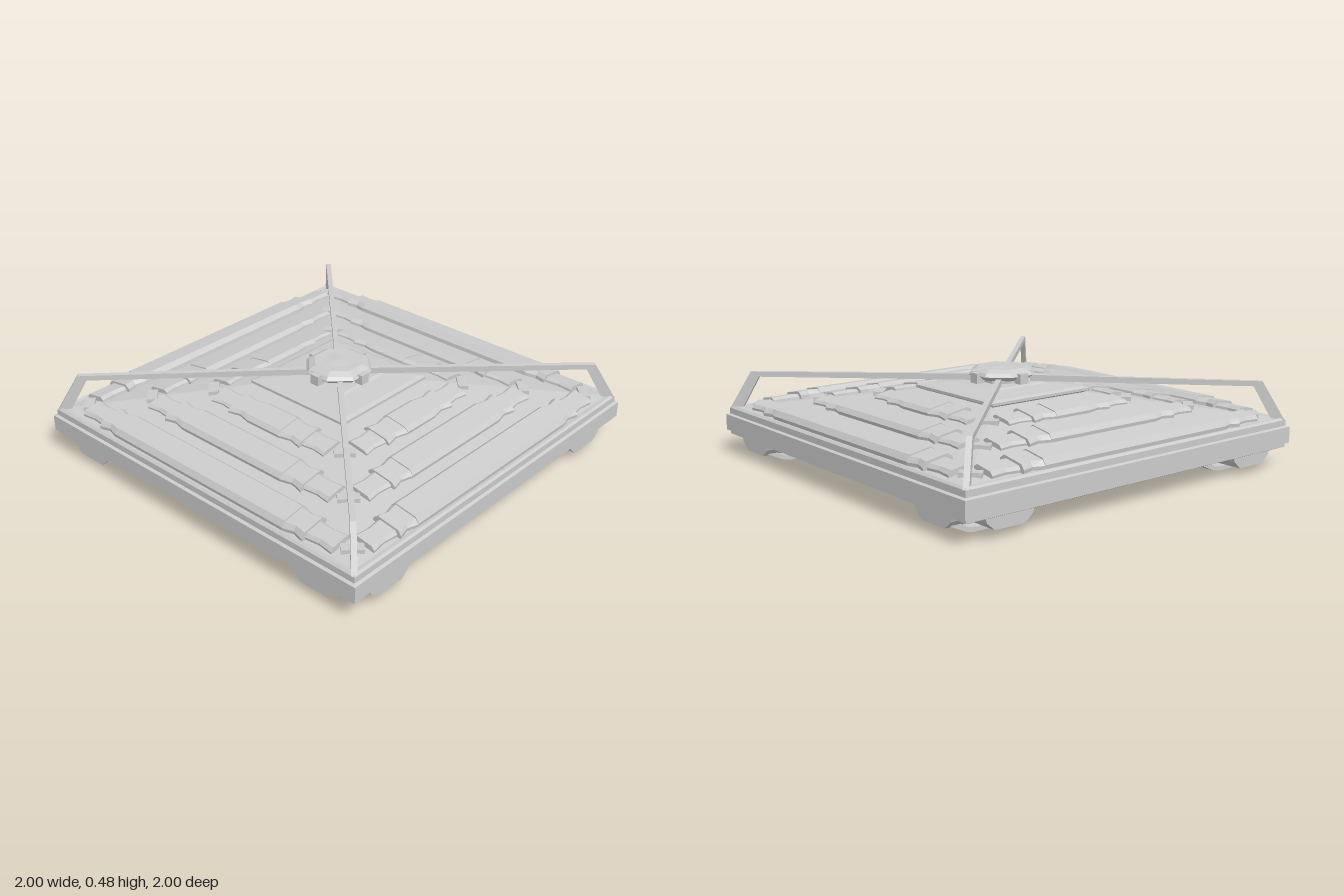
import * as THREE from 'three';

const material = new THREE.MeshStandardMaterial({ color: 0xcccccc, flatShading: true });
const SLOPE = 0.168;
const roofY = (h) => 0.242 + (0.955 - h) * SLOPE;

function add(parent, name, geometry) {
  const mesh = new THREE.Mesh(geometry, material);
  mesh.name = name;
  parent.add(mesh);
  return mesh;
}

// Square-plan solid from [half width, height] pairs, bottom to top
function squareSolid(profile) {
  const pts = profile.map(([h, y]) => new THREE.Vector2(h * Math.SQRT2, y));
  return new THREE.LatheGeometry(pts, 4, Math.PI / 4);
}

// Eight-sided solid with flats facing the four sides
function octagonSolid(profile) {
  const pts = profile.map(([r, y]) => new THREE.Vector2(r / Math.cos(Math.PI / 8), y));
  return new THREE.LatheGeometry(pts, 8, Math.PI / 8);
}

// Rounded-square solid: a round lathe pushed out towards the diagonals
function roundedSquareSolid(profile) {
  const geometry = new THREE.LatheGeometry(profile.map(([r, y]) => new THREE.Vector2(r, y)), 16);
  const pos = geometry.attributes.position;
  for (let i = 0; i < pos.count; i++) {
    const x = pos.getX(i), z = pos.getZ(i);
    const a = Math.atan2(z, x);
    const k = (Math.cos(a) ** 4 + Math.sin(a) ** 4) ** -0.25;
    pos.setXYZ(i, x * k, pos.getY(i), z * k);
  }
  geometry.computeVertexNormals();
  return geometry;
}

// Flat outline in x/y with a thickness centred on z
function plate(points, depth) {
  const shape = new THREE.Shape(points.map(([x, y]) => new THREE.Vector2(x, y)));
  return new THREE.ExtrudeGeometry(shape, { depth, bevelEnabled: false }).translate(0, 0, -depth / 2);
}

// Bevelled bar running along x; its width can change from x0 to x1
function bar(x0, x1, w0, w1, height) {
  const section = [[-0.5, -0.01], [0.5, -0.01], [0.5, height * 0.45], [0.36, height], [-0.36, height], [-0.5, height * 0.45]];
  const geometry = plate(section, x1 - x0).rotateY(Math.PI / 2).translate((x0 + x1) / 2, 0, 0);
  const pos = geometry.attributes.position;
  for (let i = 0; i < pos.count; i++) {
    const t = (pos.getX(i) - x0) / (x1 - x0);
    pos.setZ(i, pos.getZ(i) * (w0 + (w1 - w0) * t));
  }
  return geometry;
}

// One sloping row on the roof: long panel, waisted clamps, narrow end pieces
function panelRow({ c, panel, clamp, end, height }) {
  const row = new THREE.Group();
  row.name = 'panelRow';
  row.position.set(0, roofY(c), c);
  row.rotation.x = Math.atan(SLOPE);
  add(row, 'panel', bar(-panel, panel, 0.155, 0.155, height));
  const mid = (panel + clamp) / 2;
  const pieces = [
    ['clamp', panel, mid, 0.155, 0.125, 0.85],
    ['clamp', mid, clamp, 0.125, 0.155, 0.85],
    ['endPiece', clamp, (clamp + end) / 2, 0.115, 0.1, 0.6],
    ['endPiece', (clamp + end) / 2, end, 0.1, 0.12, 0.6],
  ];
  for (const [name, a, b, wa, wb, h] of pieces) {
    add(row, name, bar(a, b, wa, wb, height * h));
    add(row, name, bar(-b, -a, wb, wa, height * h));
  }
  return row;
}

const ROWS = [
  { c: 0.885, panel: 0.555, clamp: 0.67, end: 0.82, height: 0.044 },
  { c: 0.665, panel: 0.325, clamp: 0.45, end: 0.595, height: 0.036 },
  { c: 0.45, panel: 0.1, clamp: 0.235, end: 0.37, height: 0.03 },
];

export function createModel() {
  const model = new THREE.Group();
  model.name = 'squarePlatform';

  // Body: underside recess, grooved rail, stepped rim and shallow pyramid roof
  add(model, 'body', squareSolid([
    [0, 0.05], [0.33, 0.05], [0.585, 0.07], [0.6, 0.045], [0.62, 0.04], [0.66, 0.04], [0.67, 0.048],
    [0.69, 0.048], [0.7, 0.04], [0.75, 0.04], [0.77, 0.05],
    [0.79, 0.09], [0.975, 0.095], [0.985, 0.1], [0.985, 0.115], [1, 0.12], [1, 0.2],
    [0.985, 0.205], [0.985, 0.235], [0.975, 0.245], [0.955, 0.242], [0.3, roofY(0.3)], [0, roofY(0.3)],
  ]));
  add(model, 'roofCap', squareSolid([
    [0, 0.345], [0.27, 0.345], [0.305, 0.362], [0.305, 0.375], [0.285, 0.383], [0.16, 0.395], [0.145, 0.402], [0, 0.402],
  ]));

  // Faceted hub on top and dished ring below
  add(model, 'hub', octagonSolid([
    [0, 0.39], [0.09, 0.39], [0.09, 0.42], [0.135, 0.425], [0.157, 0.445], [0.145, 0.462],
    [0.115, 0.478], [0.07, 0.476], [0, 0.48],
  ]));
  add(model, 'undersideRing', roundedSquareSolid([
    [0, 0.03], [0.12, 0.03], [0.24, 0.04], [0.25, 0.016], [0.28, 0.014], [0.3, 0.032], [0.33, 0.036], [0.37, 0.058],
  ]));

  for (let i = 0; i < 4; i++) {
    const side = new THREE.Group();
    side.name = 'side';
    side.rotation.y = (i * Math.PI) / 2;
    model.add(side);

    for (const row of ROWS) {
      side.add(panelRow(row));
      // Low clip lying across the diagonal under the strut
      const p = row.c - 0.015;
      const clip = add(side, 'cornerClip', new THREE.BoxGeometry(0.1, 0.03, 0.05));
      clip.position.set(p, roofY(p) - 0.002, p);
      clip.rotation.y = Math.PI / 4;
    }
    add(side, 'hubClip', new THREE.BoxGeometry(0.05, 0.05, 0.045)).position.set(0, 0.435, 0.152);

    // Bent strut from the rim corner to the hub
    const r = Math.SQRT2;
    add(side, 'cornerStrut', plate([
      [0.1 * r, 0.405], [0.87 * r, 0.4], [0.935 * r, 0.235], [0.98 * r, 0.235], [0.9 * r, 0.425], [0.1 * r, 0.436],
    ], 0.026).rotateY(Math.PI / 4));

    // Tapered arms tying the rail to the rim near both ends of the side
    for (const s of [-1, 1]) {
      const arm = add(side, 'railArm', plate([
        [-0.13, 0.1], [-0.12, 0.075], [-0.08, 0.04], [0.08, 0.04], [0.12, 0.075], [0.13, 0.1],
      ], 0.37));
      arm.position.set(s * 0.75, 0, 0.79);
    }
  }

  // Feet: thin bowed skids lying along x
  for (const turn of [0, Math.PI]) {
    for (const z of [-0.75, 0.75]) {
      const foot = add(model, 'foot', plate([
        [0.55, 0.045], [0.64, 0.006], [0.68, 0], [0.83, 0], [0.87, 0.008], [0.95, 0.045], [0.95, 0.07],
        [0.92, 0.06], [0.86, 0.026], [0.82, 0.02], [0.69, 0.02], [0.65, 0.026], [0.58, 0.06], [0.55, 0.07],
      ], 0.18));
      foot.rotation.y = turn;
      foot.position.z = z;
    }
  }
  return model;
}
